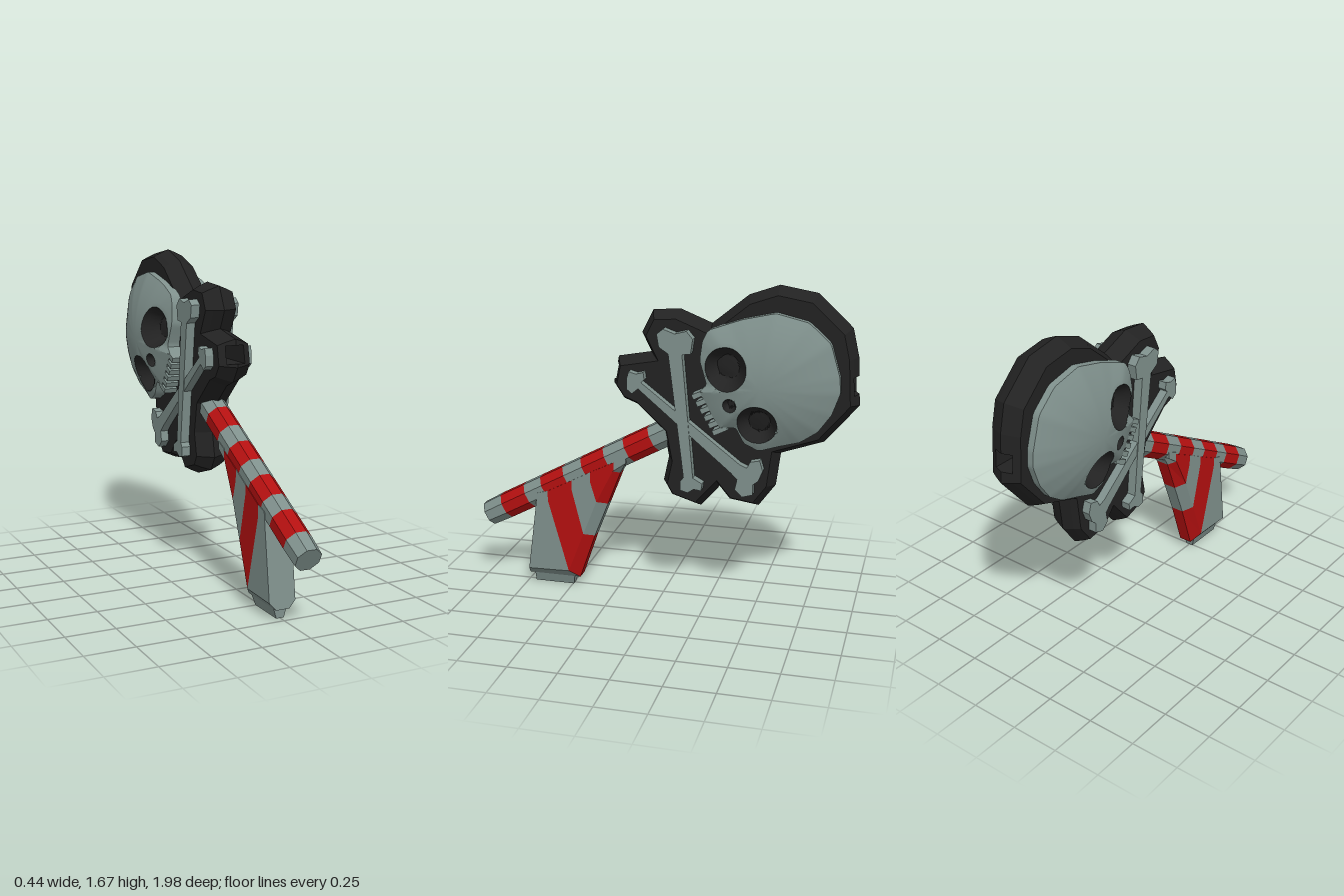
import * as THREE from 'three';
import { toCreasedNormals } from 'three/addons/utils/BufferGeometryUtils.js';

const mat = (name, color) => {
  const m = new THREE.MeshStandardMaterial({ color });
  m.name = name;
  return m;
};

// Side-profile drafting units to model units: [a, b] where a = -z and b = y
const S = 186.8;
const pt = ([px, py]) => new THREE.Vector2((px - 686.5) / S, (380.5 - py) / S);
const outline = (pts) => {
  const o = pts.map(pt);
  return THREE.ShapeUtils.isClockWise(o) ? o.reverse() : o;
};

// Shrink a counter-clockwise outline with mitred corners
function inset(o, d) {
  const n = o.length;
  const normal = (p, q) => new THREE.Vector2(p.y - q.y, q.x - p.x).normalize();
  return o.map((p, i) => {
    const n1 = normal(o[(i + n - 1) % n], p), n2 = normal(p, o[(i + 1) % n]);
    return n1.clone().add(n2).multiplyScalar(d / Math.max(0.5, 1 + n1.dot(n2))).add(p);
  });
}

function geometry(pos) {
  const g = new THREE.BufferGeometry();
  g.setAttribute('position', new THREE.Float32BufferAttribute(pos, 3));
  g.computeVertexNormals();
  return g;
}

// Join outlines stacked along x: layers = [[x, outline], ...]; side -1 mirrors
function loft(layers, side = 1) {
  if (side < 0) layers = layers.map(([x, o]) => [-x, o]).reverse();
  const pos = [];
  const put = (k, i) => pos.push(layers[k][0], layers[k][1][i].y, -layers[k][1][i].x);
  const n = layers[0][1].length, last = layers.length - 1;
  for (let k = 0; k < last; k++) for (let i = 0; i < n; i++) {
    const j = (i + 1) % n;
    put(k, i); put(k, j); put(k + 1, j);
    put(k, i); put(k + 1, j); put(k + 1, i);
  }
  for (const [a, b, c] of THREE.ShapeUtils.triangulateShape(layers[last][1].slice(), [])) {
    put(last, a); put(last, b); put(last, c);
  }
  for (const [a, b, c] of THREE.ShapeUtils.triangulateShape(layers[0][1].slice(), [])) {
    put(0, a); put(0, c); put(0, b);
  }
  return geometry(pos);
}

const PLATE = [[703, 94], [733, 106], [767, 78], [795, 68], [830, 74], [862, 104], [868, 130],
  [869, 147.7], [870, 164.5], [871, 175], [840, 212], [800, 226], [796, 258], [780, 280], [752, 276],
  [742, 264], [724, 285], [695, 276], [687, 262], [692, 238], [687, 212], [661, 188], [648, 183],
  [638, 168], [638.5, 164.5], [641.9, 147.7], [643, 142], [675, 136], [666, 118], [677, 96]];

const SKULL = [[734, 108], [765, 97], [795, 90], [825, 97], [845, 115], [854, 145], [855, 160],
  [848, 180], [836, 197], [820, 208], [800, 213], [783, 218], [769, 211], [762, 197], [754, 197],
  [747, 198], [740, 187], [733, 174], [727, 165], [734, 158], [731, 148], [727, 136], [729, 118]];

const BONES = [
  [[686, 114], [692, 109], [703, 113], [714, 110], [720, 117], [718, 131], [710, 132], [721, 250],
    [730, 255], [729, 262], [722, 261], [716, 265], [709, 263], [709, 254], [712, 250], [697, 132], [688, 126]],
  [[657, 158], [659, 151], [666, 153], [673, 151], [674, 158], [671, 161], [765, 233], [772, 236],
    [775, 230], [784, 228], [787, 238], [783, 248], [778, 252], [778, 262], [768, 265], [761, 258],
    [763, 248], [757, 242], [668, 167], [662, 172], [657, 168]],
];

// Eye sockets and nose: centre, radius, depth
const HOLLOWS = [[[752.5, 141], 20, 0.085], [[782, 191], 18.5, 0.085], [[757, 174], 6.5, 0.05]]
  .map(([c, r, depth]) => ({ c: pt(c), r: r / S, depth }));

// Domed skull relief on a polar grid; returns bone and socket surfaces
function skullRelief(side) {
  const N = 120, R = 36, c = pt([785, 156]), o = outline(SKULL);
  const reach = (d) => {
    let best = 0;
    o.forEach((p, i) => {
      const e = o[(i + 1) % o.length].clone().sub(p), w = p.clone().sub(c), den = d.cross(e);
      const t = w.cross(e) / den, u = w.cross(d) / den;
      if (t > 0 && u >= 0 && u <= 1) best = Math.max(best, t);
    });
    return best;
  };
  const jaw = new THREE.Vector2(-0.865, -0.5);
  const grid = [];
  for (let i = 0; i < N; i++) {
    const d = new THREE.Vector2(Math.cos(i / N * 2 * Math.PI), Math.sin(i / N * 2 * Math.PI));
    const len = reach(d), edge = 0.12 + 0.035 * Math.max(0, d.dot(jaw));
    const row = [];
    for (let k = 0; k <= R; k++) {
      const t = k / R, p = d.clone().multiplyScalar(len * t).add(c);
      let h = edge + (0.22 - edge) * (1 - t * t);
      for (const q of HOLLOWS) {
        const v = p.clone().sub(q.c);
        if (Math.abs(v.length() - q.r) < 0.007 && k < R) p.copy(v.setLength(q.r).add(q.c));
        const dist = p.distanceTo(q.c);
        if (dist < q.r) h -= q.depth * Math.min(1, (1 - dist / q.r) / 0.45);
      }
      row.push([h, p.x, p.y]);
    }
    row.push([0.08, row[R][1], row[R][2]]);
    grid.push(row);
  }
  const bone = [], socket = [];
  const tri = (...v) => {
    const m = new THREE.Vector2((v[0][1] + v[1][1] + v[2][1]) / 3, (v[0][2] + v[1][2] + v[2][2]) / 3);
    const list = HOLLOWS.some((q) => m.distanceTo(q.c) < q.r) ? socket : bone;
    if (side < 0) v.reverse();
    for (const [h, a, b] of v) list.push(side * h, b, -a);
  };
  for (let i = 0; i < N; i++) for (let k = 0; k <= R; k++) {
    const A = grid[i], B = grid[(i + 1) % N];
    tri(A[k], A[k + 1], B[k + 1]);
    if (k > 0) tri(A[k], B[k + 1], B[k]);
  }
  return [bone, socket].map((l) => toCreasedNormals(geometry(l), 0.5));
}

export function createModel() {
  const root = new THREE.Group();
  const black = mat('black', 0x222222), grey = mat('boneGrey', 0x7f908c), red = mat('red', 0xb31010);
  const add = (name, geo, material) => {
    const m = new THREE.Mesh(geo, material);
    m.name = name;
    root.add(m);
    return m;
  };

  // Backing plate: ridged rim, with a slot running through its middle layer
  const base = outline(PLATE);
  const mid = inset(base, 0.02), face = inset(base, 0.037);
  for (const upper of [true, false]) {
    const half = (o) => o.filter((_, i) => (base[i].y > 1.2) === upper);
    add(upper ? 'plateCoreUpper' : 'plateCoreLower',
      loft([[-0.05, half(mid)], [0, half(base)], [0.05, half(mid)]]), black);
  }

  for (const side of [1, -1]) {
    const tag = side > 0 ? 'Left' : 'Right';
    add('plateFace' + tag, loft([[0.05, mid], [0.085, face]], side), black);
    const [bone, socket] = skullRelief(side);
    add('skull' + tag, bone, grey);
    add('sockets' + tag, socket, black);
    // Crossed bones
    BONES.forEach((b, i) => {
      const o = outline(b);
      add('bone' + (i + 1) + tag, loft([[0.08, o], [0.132 - i * 0.004, o]], side), grey);
    });
    // Teeth along the jaw
    for (let i = 0; i < 6; i++) {
      const x = 729 + i * 3.9, y = 165 + i * 6.6;
      const o = outline([[x + 4, y - 3], [x - 9, y + 3], [x - 7, y + 7.5], [x + 6, y + 1]]);
      add('tooth' + tag, loft([[0.08, o], [0.155, o]], side), grey);
    }
  }

  // Striped eight-sided shaft
  const dir = new THREE.Vector3(0, 0.474, -0.88).normalize();
  const start = new THREE.Vector3(0, 0.36, 0.967);
  const stops = [0, 21.6, 50, 70, 96.6, 118, 144, 167, 195, 225];
  for (let i = 0; i < stops.length - 1; i++) {
    const a = stops[i] / S, b = stops[i + 1] / S;
    const g = new THREE.CylinderGeometry(0.0725, i ? 0.0725 : 0.068, b - a, 8).rotateY(Math.PI / 8);
    const m = add(i % 2 ? 'shaftStripe' : 'shaftBand', toCreasedNormals(g, 0.3), i % 2 ? red : grey);
    m.quaternion.setFromUnitVectors(new THREE.Vector3(0, 1, 0), dir);
    m.position.copy(start).addScaledVector(dir, (a + b) / 2);
  }

  // Fin below the shaft: [x, y, inward shift x, y] corners, chamfered behind and below
  const fin = [
    ['finFront', grey, [[561, 283], [572, 280], [572, 290], [602, 371, -10, -8], [549, 371, 1, -7]]],
    ['finStripeLow', red, [[572, 280], [597, 267], [597, 277], [618, 325, -10, -3], [602, 371, -10, -8], [572, 290]]],
    ['finMiddle', grey, [[597, 267], [616, 257], [616, 267], [632, 290, -10, -3], [618, 325, -10, -3], [597, 277]]],
    ['finStripeHigh', red, [[616, 257], [640, 245], [640, 253], [645, 257, -6, -3], [632, 290, -10, -3], [616, 267]]],
    ['finTop', grey, [[640, 243], [652, 238], [652, 245], [645, 257, -6, -3], [640, 253]]],
  ];
  for (const [name, material, pts] of fin) {
    const full = outline(pts);
    const cut = outline(pts.map(([x, y, dx = 0, dy = 0]) => [x + dx, y + dy]));
    add(name, loft([[-0.07, cut], [-0.035, full], [0.035, full], [0.07, cut]]), material);
  }
  const foot = outline([[554, 368], [596, 368], [594, 380.5], [554, 380.5]]);
  const footTop = outline([[554, 368], [596, 368], [596, 371], [554, 371]]);
  add('finFoot', loft([[-0.035, footTop], [-0.02, foot], [0.02, foot], [0.035, footTop]]), grey);

  return root;
}
